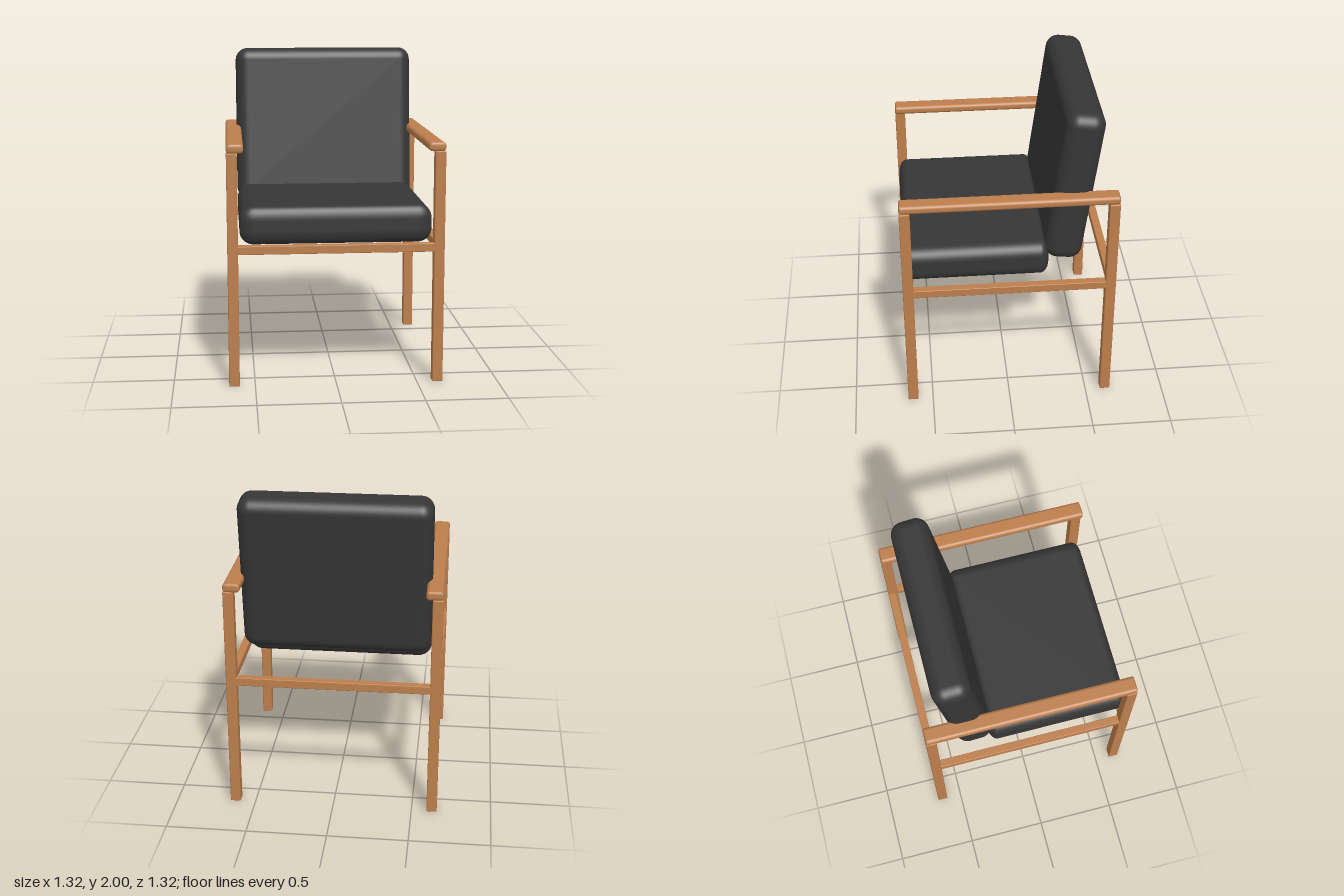
import * as THREE from 'three';
import { RoundedBoxGeometry } from 'three/addons/geometries/RoundedBoxGeometry.js';

export function createModel() {
  const chair = new THREE.Group();
  chair.name = 'armchair';

  const wood = new THREE.MeshStandardMaterial({ color: 0xbc7e4c });
  wood.name = 'wood';
  const fabric = new THREE.MeshStandardMaterial({ color: 0x363636 });
  fabric.name = 'charcoal fabric';

  // Rounded block of size w, h, d; rz is the rounding along z where it differs
  function block(name, material, [w, h, d], [x, y, z], r, rz = r, segments = 3) {
    const stretch = rz / r;
    const geometry = new RoundedBoxGeometry(w, h, d / stretch, segments, r);
    geometry.scale(1, 1, stretch);
    const mesh = new THREE.Mesh(geometry, material);
    mesh.name = name;
    mesh.position.set(x, y, z);
    chair.add(mesh);
    return mesh;
  }

  for (const side of [1, -1]) {
    const label = side > 0 ? 'left' : 'right';

    // Armrest and the side rail under the seat
    block(label + 'Armrest', wood, [0.104, 0.055, 1.32], [side * 0.608, 1.4675, 0], 0.022, 0.012, 4);
    block(label + 'Rail', wood, [0.05, 0.052, 1.2], [side * 0.634, 0.851, 0], 0.004);

    // Front and back legs
    for (const end of [1, -1]) {
      block(label + (end > 0 ? 'FrontLeg' : 'BackLeg'), wood,
        [0.065, 1.442, 0.065], [side * 0.6275, 0.721, end * 0.6275], 0.007);
    }
  }

  // Front and back rails
  for (const end of [1, -1]) {
    block(end > 0 ? 'frontRail' : 'backRail', wood,
      [1.2, 0.052, 0.05], [0, 0.851, end * 0.634], 0.004);
  }

  // Seat cushion
  block('seatCushion', fabric, [1.17, 0.234, 0.905], [0, 0.995, 0.2], 0.085, 0.055, 6);

  // Back cushion, leaning backwards
  const back = block('backCushion', fabric, [1.17, 1.01, 0.234], [0, 1.495, -0.397], 0.08, 0.08, 6);
  back.rotation.x = -0.13;

  return chair;
}
